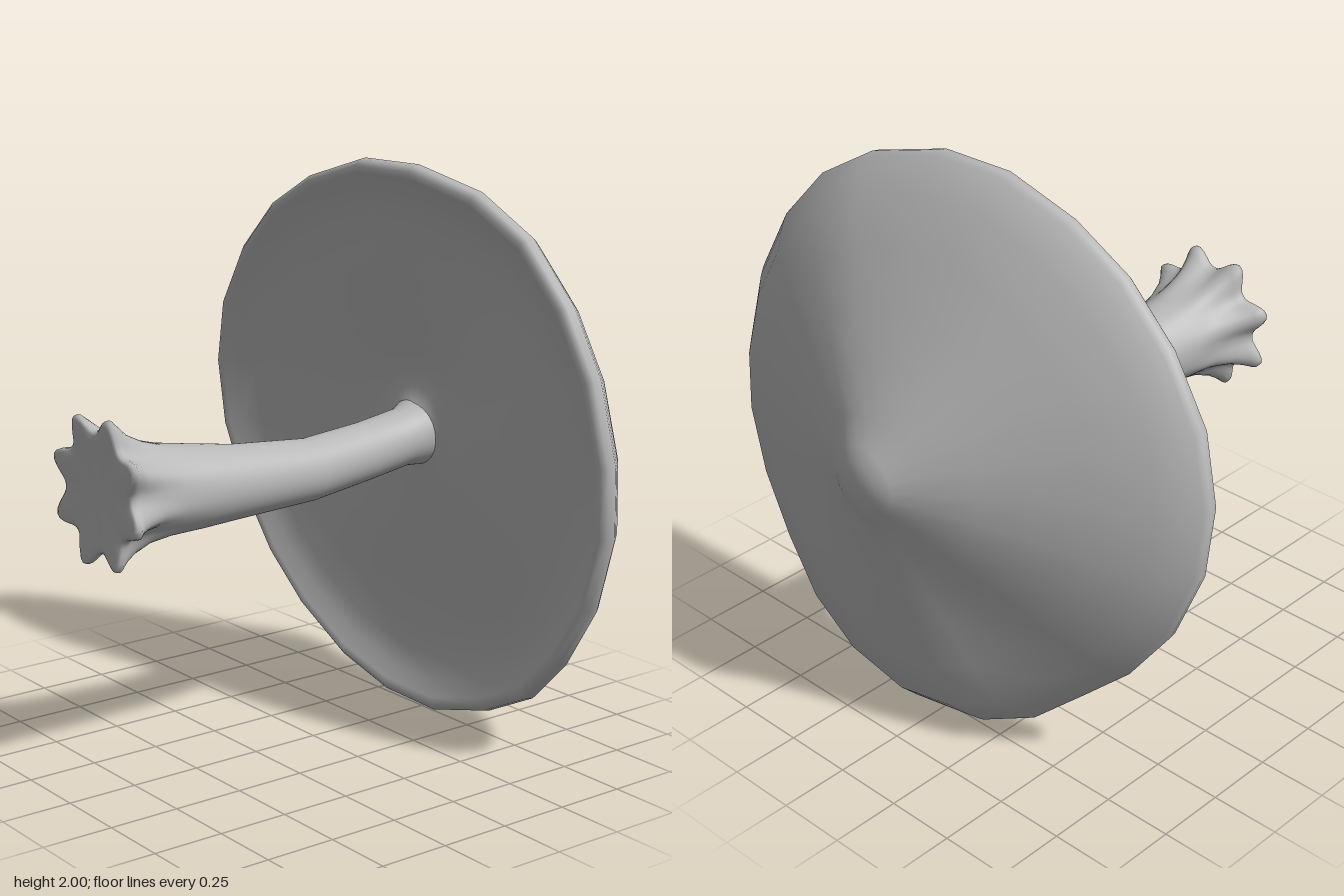
import * as THREE from 'three';

// Skin a list of rings (equal point counts) into one smooth surface, back to front
function loft(rings, material, name) {
  const n = rings[0].length, index = [];
  for (let r = 0; r < rings.length - 1; r++) {
    for (let i = 0; i < n; i++) {
      const j = (i + 1) % n, a = r * n, b = a + n;
      index.push(a + i, b + i, b + j, a + i, b + j, a + j);
    }
  }
  const geometry = new THREE.BufferGeometry();
  geometry.setAttribute('position', new THREE.Float32BufferAttribute(rings.flat(2), 3));
  geometry.setIndex(index);
  geometry.computeVertexNormals();
  const mesh = new THREE.Mesh(geometry, material);
  mesh.name = name;
  return mesh;
}

// Rim of the cap, clockwise from the top: x, y, z of the front lip
const RIM = [
  [0.15, 2, -0.285], [0.42, 1.93, -0.33], [0.63, 1.8, -0.365], [0.81, 1.6, -0.38],
  [0.93, 1.38, -0.39], [1, 1.1, -0.4], [0.995, 0.86, -0.41], [0.915, 0.6, -0.42],
  [0.76, 0.37, -0.44], [0.57, 0.19, -0.47], [0.33, 0.07, -0.49], [0.07, 0, -0.48],
  [-0.17, 0.02, -0.455], [-0.37, 0.11, -0.41], [-0.55, 0.27, -0.355], [-0.73, 0.44, -0.34],
  [-0.89, 0.66, -0.33], [-0.985, 0.91, -0.31], [-1, 1.16, -0.29], [-0.94, 1.4, -0.275],
  [-0.8, 1.62, -0.267], [-0.61, 1.8, -0.262], [-0.39, 1.92, -0.264], [-0.12, 2, -0.272],
];

// Cap section: fraction of rim radius, z offset, share of the rim's z that is followed
const CAP = [
  [0, -0.875, 0], [0.03, -0.874, 0], [0.08, -0.867, 0], [0.13, -0.845, 0], [0.22, -0.77, 0.06],
  [0.38, -0.617, 0.32], [0.55, -0.435, 0.63], [0.72, -0.275, 0.9], [0.88, -0.117, 1.14],
  [0.95, -0.085, 1.05], [0.985, -0.065, 1], [1, -0.045, 1], [0.995, -0.018, 1], [0.975, 0, 1],
  [0.95, -0.006, 1], [0.9, -0.035, 1], [0.82, -0.073, 0.95], [0.7, -0.132, 0.83],
  [0.55, -0.213, 0.6], [0.3, -0.375, 0.2], [0.2, -0.445, 0], [0.14, -0.447, 0], [0.09, -0.42, 0],
];

// Stem stations: z, centre x, centre y, radius, height of the root flutes
const STEM = [
  [-0.5, 0.005, 1.05, 0.14, 0], [-0.45, 0.006, 1.045, 0.122, 0], [-0.38, 0.01, 1.03, 0.102, 0],
  [-0.2, 0.018, 1.005, 0.102, 0], [0.05, 0.035, 0.983, 0.107, 0], [0.35, 0.03, 0.988, 0.125, 0],
  [0.5, 0.017, 0.993, 0.141, 0], [0.63, 0.005, 1, 0.153, 0.002], [0.72, 0, 1.01, 0.165, 0.012],
  [0.79, -0.005, 1.015, 0.176, 0.033], [0.83, -0.01, 1.02, 0.188, 0.054],
  [0.855, -0.01, 1.02, 0.2, 0.065], [0.87, -0.01, 1.02, 0.198, 0.064],
  [0.875, -0.01, 1.02, 0.186, 0.058], [0.868, -0.01, 1.02, 0.165, 0.03], [0.86, -0.01, 1.02, 0.1, 0],
  [0.858, -0.01, 1.02, 0.02, 0], [0.858, -0.01, 1.02, 0, 0],
];

export function createModel() {
  const model = new THREE.Group();
  model.name = 'mushroom';
  const grey = new THREE.MeshStandardMaterial({ color: 0xb8b8b8 });
  grey.name = 'plain grey';

  // Warped conical cap with a rolled rim and a dished underside
  const cap = CAP.map(([f, z, follow]) =>
    RIM.map(([x, y, lip]) => [x * f, 1.07 + (y - 1.07) * f, z + lip * follow]));
  model.add(loft(cap, grey, 'cap'));

  // Bent stem flaring into an eight-pointed root end, its valleys set slightly back
  const sides = 96, phase = THREE.MathUtils.degToRad(71.5);
  const stem = STEM.map(([z, cx, cy, radius, flute]) =>
    Array.from({ length: sides }, (_, i) => {
      const a = -i / sides * Math.PI * 2;
      const tip = Math.pow((1 + Math.cos(8 * (a - phase))) / 2, 1.3);
      const r = radius + flute * tip;
      return [cx + r * Math.cos(a), cy + r * Math.sin(a), z - 0.2 * flute * (1 - tip)];
    }));
  model.add(loft(stem, grey, 'stem'));
  return model;
}
